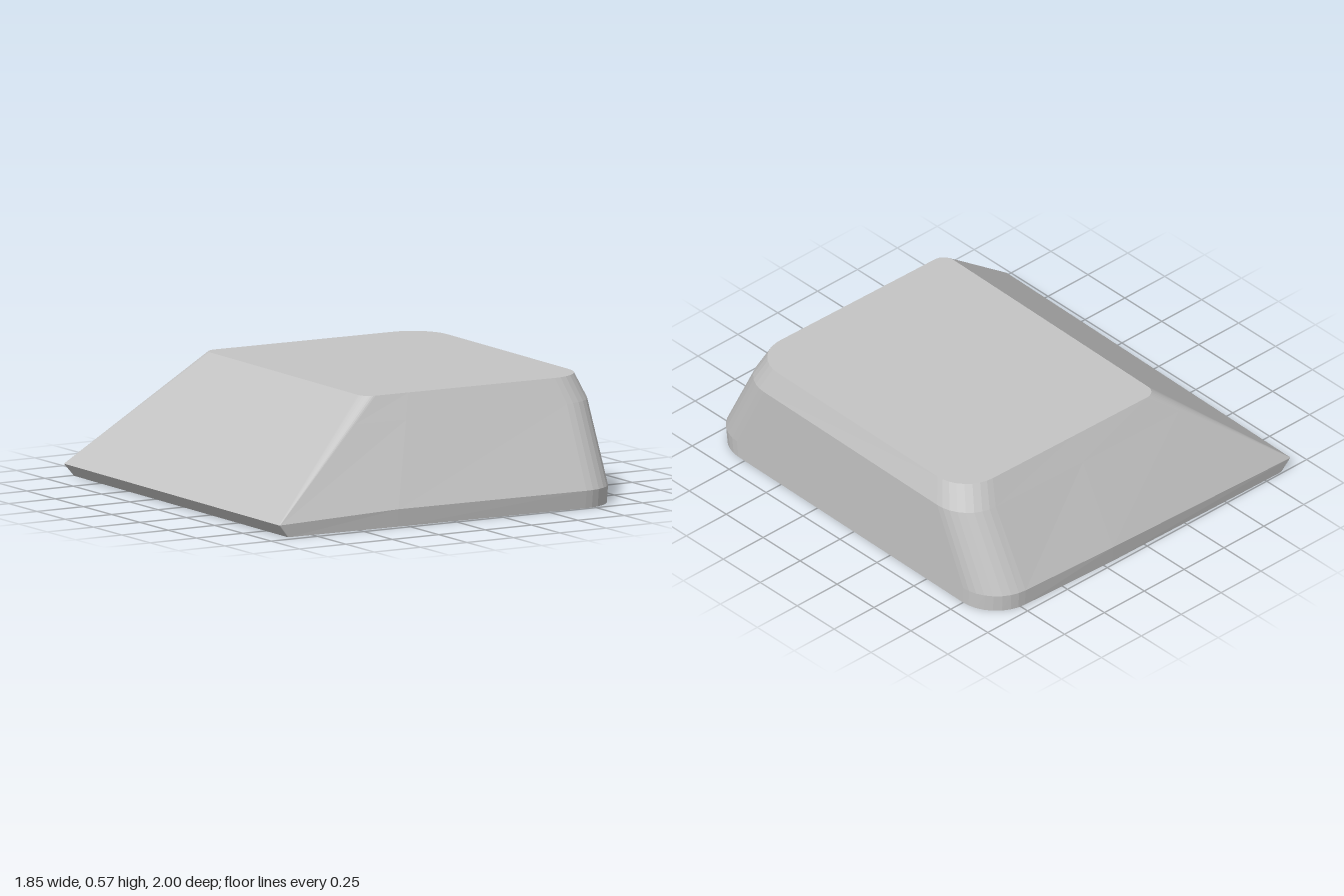
import * as THREE from 'three';

const STEPS = 8;

// Corner: [x, y, z, radius]; a zero radius is a plain waypoint.
// Order: front left, front waypoint, front right, back right, back waypoint, back left.
const base = [
  [-0.88, 0, 0.95, 0.005], [-0.3, 0, 0.968, 0], [0.9, 0, 0.992, 0.2],
  [0.925, 0, -0.947, 0.2], [0.2, 0, -0.978, 0], [-0.85, 0, -0.992, 0.005],
];
const rim = [
  [-0.93, 0.06, 0.957, 0.005], [-0.3, 0.083, 0.977, 0], [0.9, 0.083, 1.003, 0.2],
  [0.925, 0.083, -0.95, 0.2], [0.2, 0.083, -0.985, 0], [-0.9, 0.06, -1.0, 0.005],
];
const crown = [
  [-0.335, 0.575, 0.732, 0.06], [-0.1, 0.575, 0.736, 0], [0.86, 0.575, 0.753, 0.18],
  [0.88, 0.575, -0.707, 0.18], [0.2, 0.575, -0.719, 0], [-0.312, 0.575, -0.728, 0.06],
];

// Shoulder follows the slopes between rim and crown, but keeps the right wall upright.
const shoulder = rim.map((c, i) => {
  const t = (0.46 - c[1]) / (crown[i][1] - c[1]);
  const s = c.map((v, k) => v + (crown[i][k] - v) * t);
  if (i === 2 || i === 3) { s[0] = c[0]; s[3] = 0.19; }
  return s;
});

// Turns corners into a closed ring with circular roundings.
function ring(corners) {
  const points = [];
  const n = corners.length;
  corners.forEach(([x, y, z, r], i) => {
    const p = new THREE.Vector3(x, y, z);
    if (r === 0) { points.push(p); return; }
    const toward = (c) => new THREE.Vector3(c[0] - x, 0, c[2] - z).setLength(r).add(p);
    const a = toward(corners[(i + n - 1) % n]);
    const b = toward(corners[(i + 1) % n]);
    for (let k = 0; k <= STEPS; k++) {
      const t = k / STEPS;
      const wa = (1 - t) ** 2, wp = 2 * t * (1 - t) * Math.SQRT1_2, wb = t * t;
      points.push(new THREE.Vector3().addScaledVector(a, wa).addScaledVector(p, wp)
        .addScaledVector(b, wb).divideScalar(wa + wp + wb));
    }
  });
  return points;
}

function surface(triangles) {
  const geometry = new THREE.BufferGeometry().setFromPoints(triangles);
  geometry.computeVertexNormals();
  return geometry;
}

// Wall strip between two rings
function band(lower, upper) {
  const out = [];
  lower.forEach((a, i) => {
    const j = (i + 1) % lower.length;
    out.push(a, lower[j], upper[j], a, upper[j], upper[i]);
  });
  return surface(out);
}

// Flat lid fanned around the ring's centre
function cap(points, up) {
  const centre = new THREE.Vector3();
  points.forEach((p) => centre.add(p));
  centre.divideScalar(points.length);
  const out = [];
  points.forEach((p, i) => {
    const q = points[(i + 1) % points.length];
    out.push(centre, ...(up ? [p, q] : [q, p]));
  });
  return surface(out);
}

export function createModel() {
  const group = new THREE.Group();
  group.name = 'wedgeBlock';
  const grey = new THREE.MeshStandardMaterial({ color: 0xc4c4c4, flatShading: true });
  grey.name = 'light grey';

  const add = (name, geometry) => {
    const mesh = new THREE.Mesh(geometry, grey);
    mesh.name = name;
    group.add(mesh);
  };

  const [r0, r1, r2, r3] = [base, rim, shoulder, crown].map(ring);
  add('underside', cap(r0, false));
  add('lowerRim', band(r0, r1));
  add('slopedWalls', band(r1, r2));
  add('shoulderBevel', band(r2, r3));
  add('topFace', cap(r3, true));
  return group;
}
